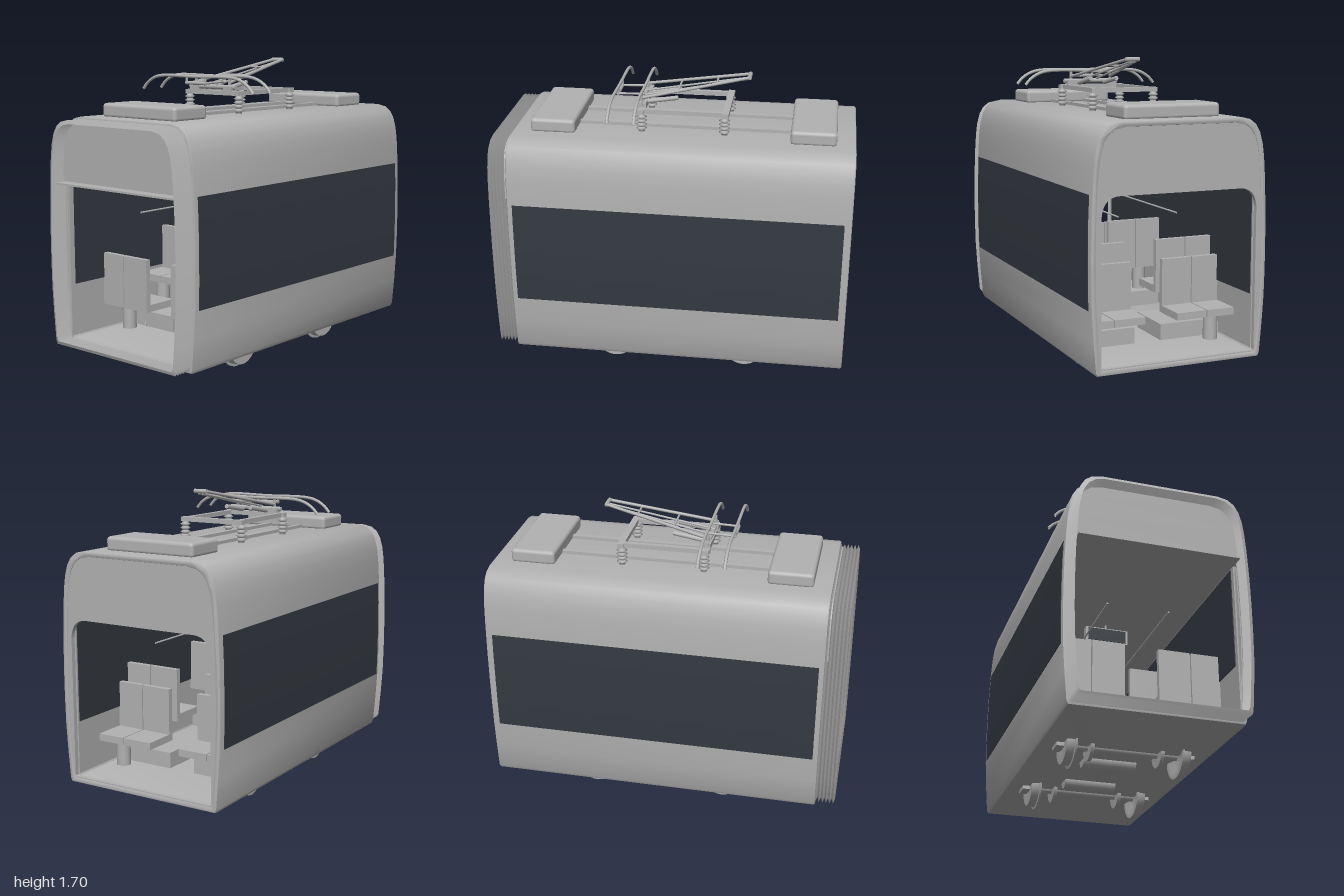
import * as THREE from 'three';
import { toCreasedNormals } from 'three/addons/utils/BufferGeometryUtils.js';
import { RoundedBoxGeometry } from 'three/addons/geometries/RoundedBoxGeometry.js';

const grey = new THREE.MeshStandardMaterial({ color: 0xb2b2b2, side: THREE.DoubleSide });
grey.name = 'light grey';
const glass = new THREE.MeshStandardMaterial({ color: 0x343a42, side: THREE.DoubleSide });
glass.name = 'dark glass';

// Half cross-section of the car body, bottom to roof
const PROFILE = [[0.465, 0.12], [0.475, 0.14], [0.488, 0.3], [0.497, 0.45], [0.5, 0.6], [0.5, 0.75], [0.497, 0.92],
  [0.49, 1.08], [0.482, 1.19], [0.472, 1.26], [0.455, 1.32], [0.43, 1.362], [0.395, 1.388], [0.34, 1.4]];

// Closed cross-section, moved inwards by d
function section(d) {
  const half = PROFILE.map(([x, y]) => new THREE.Vector2(x - d, 0.12 + d + (y - 0.12) * (1.28 - 2 * d) / 1.28));
  return [...half, ...half.map(p => new THREE.Vector2(-p.x, p.y)).reverse()];
}

function sideX(y) {
  const i = PROFILE.findIndex(p => p[1] >= y);
  const [a, b] = [PROFILE[i - 1], PROFILE[i]];
  return a[0] + (b[0] - a[0]) * (y - a[1]) / (b[1] - a[1]);
}

export function createModel() {
  const model = new THREE.Group();
  model.name = 'tramSection';

  const add = (name, geo, x = 0, y = 0, z = 0, mat = grey) => {
    const m = new THREE.Mesh(geo, mat);
    m.name = name;
    m.position.set(x, y, z);
    model.add(m);
    return m;
  };
  // Box given by its limits
  const box = (name, x0, x1, y0, y1, z0, z1, mat = grey) =>
    add(name, new THREE.BoxGeometry(x1 - x0, y1 - y0, z1 - z0), (x0 + x1) / 2, (y0 + y1) / 2, (z0 + z1) / 2, mat);
  // Round bar between two points
  const bar = (name, a, b, r) => {
    const p = new THREE.Vector3(...a), q = new THREE.Vector3(...b);
    const m = add(name, new THREE.CylinderGeometry(r, r, p.distanceTo(q), 8));
    m.position.copy(p).lerp(q, 0.5);
    m.quaternion.setFromUnitVectors(new THREE.Vector3(0, 1, 0), q.sub(p).normalize());
    return m;
  };
  const slab = (shape, depth) => new THREE.ExtrudeGeometry(shape, { depth, bevelEnabled: false });

  // Body shell: a hollow extrusion with softly rounded ends
  const shell = new THREE.Shape(section(0));
  shell.holes.push(new THREE.Path(section(0.03)));
  const shellGeo = new THREE.ExtrudeGeometry(shell, {
    depth: 1.87, bevelThickness: 0.01, bevelSize: 0.01, bevelOffset: -0.01, bevelSegments: 2 });
  add('bodyShell', toCreasedNormals(shellGeo, 0.7), 0, 0, -0.99);

  // Rear bulkhead with a wide opening rounded at the top
  const rear = new THREE.Shape(section(0.012));
  const door = new THREE.Path();
  door.moveTo(-0.44, 0.155);
  door.lineTo(0.44, 0.155);
  door.lineTo(0.44, 0.93);
  door.quadraticCurveTo(0.43, 1.03, 0.34, 1.03);
  door.lineTo(-0.34, 1.03);
  door.quadraticCurveTo(-0.43, 1.03, -0.44, 0.93);
  rear.holes.push(door);
  add('rearBulkhead', slab(rear, 0.025), 0, 0, -0.995);

  // Front bulkhead above the open gangway, and the ceiling
  const front = new THREE.Shape(section(0.025).filter(p => p.y > 1.05));
  add('frontBulkhead', slab(front, 0.02), 0, 0, 0.89);
  box('frontHeader', -0.455, 0.455, 1.03, 1.09, 0.89, 0.91);
  box('ceiling', -0.445, 0.445, 1.03, 1.04, -0.97, 0.98);

  // Bellows: pleated loft through alternating cross-sections
  const pleats = 12, pos = [], idx = [], n = section(0).length;
  for (let i = 0; i <= pleats; i++) {
    for (const p of section(i % 2 ? 0.012 : 0.032)) pos.push(p.x, p.y, 0.88 + 0.01 * i);
    for (let j = 0; i < pleats && j < n; j++) {
      const a = i * n + j, b = i * n + (j + 1) % n;
      idx.push(a, b, a + n, b, b + n, a + n);
    }
  }
  const bellows = new THREE.BufferGeometry();
  bellows.setAttribute('position', new THREE.Float32BufferAttribute(pos, 3));
  bellows.setIndex(idx);
  add('bellows', toCreasedNormals(bellows, 0.6));

  // Side windows follow the wall outside; flat linings and panes inside
  const ys = [0.455, ...PROFILE.map(p => p[1]).filter(y => y > 0.46 && y < 1.03), 1.04];
  for (const s of [-1, 1]) {
    const pane = new THREE.Shape([
      ...ys.map(y => new THREE.Vector2(s * (sideX(y) + 0.003), y)),
      ...ys.map(y => new THREE.Vector2(s * (sideX(y) - 0.003), y)).reverse()]);
    add('sideWindow', slab(pane, 1.82), 0, 0, -0.96, glass);
    box('innerWall', s * 0.444 - 0.004, s * 0.444 + 0.004, 0.15, 1.03, -0.96, 0.89);
    box('innerWindow', s * 0.438 - 0.003, s * 0.438 + 0.003, 0.455, 1.02, -0.95, 0.86, glass);
    // Handrails
    bar('handrail', [s * 0.175, 0.855, -0.6], [s * 0.175, 0.855, 0.6], 0.005);
  }

  // Seats: [back z, facing, lift]
  for (const [z, f, lift] of [[0.63, -1, 0], [0.15, 1, 0.095], [-0.5, 1, 0.095], [-0.58, -1, 0]]) {
    for (const s of [-1, 1]) {
      for (const cx of [0.183, 0.367]) {
        const c = s * cx, w = 0.089;
        const zs = [z, z + f * 0.2].sort((a, b) => a - b);
        box('seatCushion', c - w, c + w, 0.3 + lift, 0.34 + lift, zs[0], zs[1]);
        box('seatBack', c - w, c + w, 0.3 + lift, 0.6 + lift, z - 0.015, z + 0.015);
      }
      const base = lift ? 0.24 : 0.15;
      add('seatPost', new THREE.CylinderGeometry(0.04, 0.04, 0.3 + lift - base, 16),
        s * 0.35, (0.3 + lift + base) / 2, z + f * 0.1);
    }
  }

  // Raised floor boxes over the axles, axles, wheels, brake discs and bearings
  for (const z of [0.33, -0.43]) {
    for (const s of [-1, 1]) {
      box('axleCover', s * 0.262 - 0.183, s * 0.262 + 0.183, 0.15, 0.24, z - 0.18, z + 0.12);
      const rim = [[0, -0.02], [0.06, -0.03], [0.11, -0.03], [0.115, 0.012], [0.13, 0.014], [0.13, 0.024], [0.1, 0.024],
        [0.06, 0.01], [0, 0.015]].map(p => new THREE.Vector2(...p));
      const wheel = add('wheel', toCreasedNormals(new THREE.LatheGeometry(rim, 32), 0.5), s * 0.315, 0.13, z);
      wheel.rotation.z = s * Math.PI / 2;
      bar('brakeDisc', [s * 0.185, 0.13, z], [s * 0.205, 0.13, z], 0.08).geometry =
        new THREE.CylinderGeometry(0.08, 0.08, 0.02, 24);
      box('axleBearing', s * 0.36 - 0.025, s * 0.36 + 0.025, 0.1, 0.18, z - 0.05, z + 0.05);
    }
    bar('axle', [-0.3, 0.125, z], [0.3, 0.125, z], 0.025);
  }
  box('centreStep', -0.08, 0.08, 0.15, 0.22, -0.2, 0.1);
  for (const z of [0.14, -0.24]) bar('motor', [-0.18, 0.12, z], [0.12, 0.12, z], 0.045);

  // Hanging display
  box('displayCase', -0.128, 0.128, 0.91, 1.0, -0.025, 0.025);
  for (const z of [-0.027, 0.027]) box('displayScreen', -0.115, 0.115, 0.917, 0.993, z - 0.002, z + 0.002, glass);
  bar('displayRod', [0, 1, 0], [0, 1.035, 0], 0.006);

  // Roof boxes and cable rails
  for (const z of [0.665, -0.77]) add('roofBox', new RoundedBoxGeometry(0.545, 0.08, 0.25, 3, 0.02), 0, 1.432, z);
  for (const s of [-1, 1]) box('roofRail', s * 0.105 - 0.015, s * 0.105 + 0.015, 1.39, 1.418, -0.65, 0.55);

  // Ribbed insulators
  const ribs = [[0.018, 0]];
  for (let i = 0; i < 4; i++) ribs.push([0.018, 0.01 + i * 0.022], [0.03, 0.018 + i * 0.022], [0.018, 0.026 + i * 0.022]);
  ribs.push([0.018, 0.105]);
  for (const z of [0.18, -0.28]) for (const x of [-0.185, 0.185])
    add('insulator', new THREE.LatheGeometry(ribs.map(p => new THREE.Vector2(...p)), 16), x, 1.4, z);

  // Pantograph base frame
  for (const z of [0.185, -0.285]) box('frameCrossbar', -0.2, 0.2, 1.5, 1.525, z - 0.018, z + 0.018);
  for (const s of [-1, 1]) {
    box('frameBeam', s * 0.17 - 0.014, s * 0.17 + 0.014, 1.5, 1.525, -0.3, 0.21);
    box('armPivot', s * 0.125 - 0.03, s * 0.125 + 0.03, 1.52, 1.55, 0.16, 0.21);
    // Folded arms
    bar('upperArm', [s * 0.125, 1.57, 0.19], [s * 0.035, 1.683, -0.4], 0.009);
    bar('innerArm', [s * 0.04, 1.555, 0.2], [s * 0.012, 1.67, -0.4], 0.006);
    bar('lowerArm', [s * 0.08, 1.535, 0.17], [s * 0.08, 1.565, -0.01], 0.013);
    bar('headLink', [s * 0.07, 1.57, 0.33], [s * 0.07, 1.575, 0.18], 0.007);
    bar('headPost', [s * 0.125, 1.53, 0.19], [s * 0.125, 1.6, 0.19], 0.009);
  }
  bar('armTip', [-0.04, 1.683, -0.4], [0.04, 1.683, -0.4], 0.012);
  bar('armBrace', [-0.06, 1.645, -0.22], [0.06, 1.645, -0.22], 0.006);
  bar('armBrace', [-0.1, 1.605, -0.01], [0.1, 1.605, -0.01], 0.006);
  bar('armShaft', [-0.17, 1.545, 0.19], [0.17, 1.545, 0.19], 0.013);

  // Contact strips with drooping horns
  const strip = new THREE.CatmullRomCurve3([[-0.41, 1.527], [-0.38, 1.56], [-0.33, 1.59], [-0.27, 1.605], [0, 1.605],
    [0.27, 1.605], [0.33, 1.59], [0.38, 1.56], [0.41, 1.527]].map(([x, y]) => new THREE.Vector3(x, y, 0)), false, 'centripetal');
  for (const z of [0.185, 0.33]) add('contactStrip', new THREE.TubeGeometry(strip, 40, 0.009, 8), 0, 0, z);
  bar('headBar', [-0.075, 1.57, 0.33], [0.075, 1.57, 0.33], 0.01);
  for (const s of [-1, 1]) bar('headBracket', [s * 0.07, 1.57, 0.33], [s * 0.07, 1.605, 0.33], 0.007);

  return model;
}
